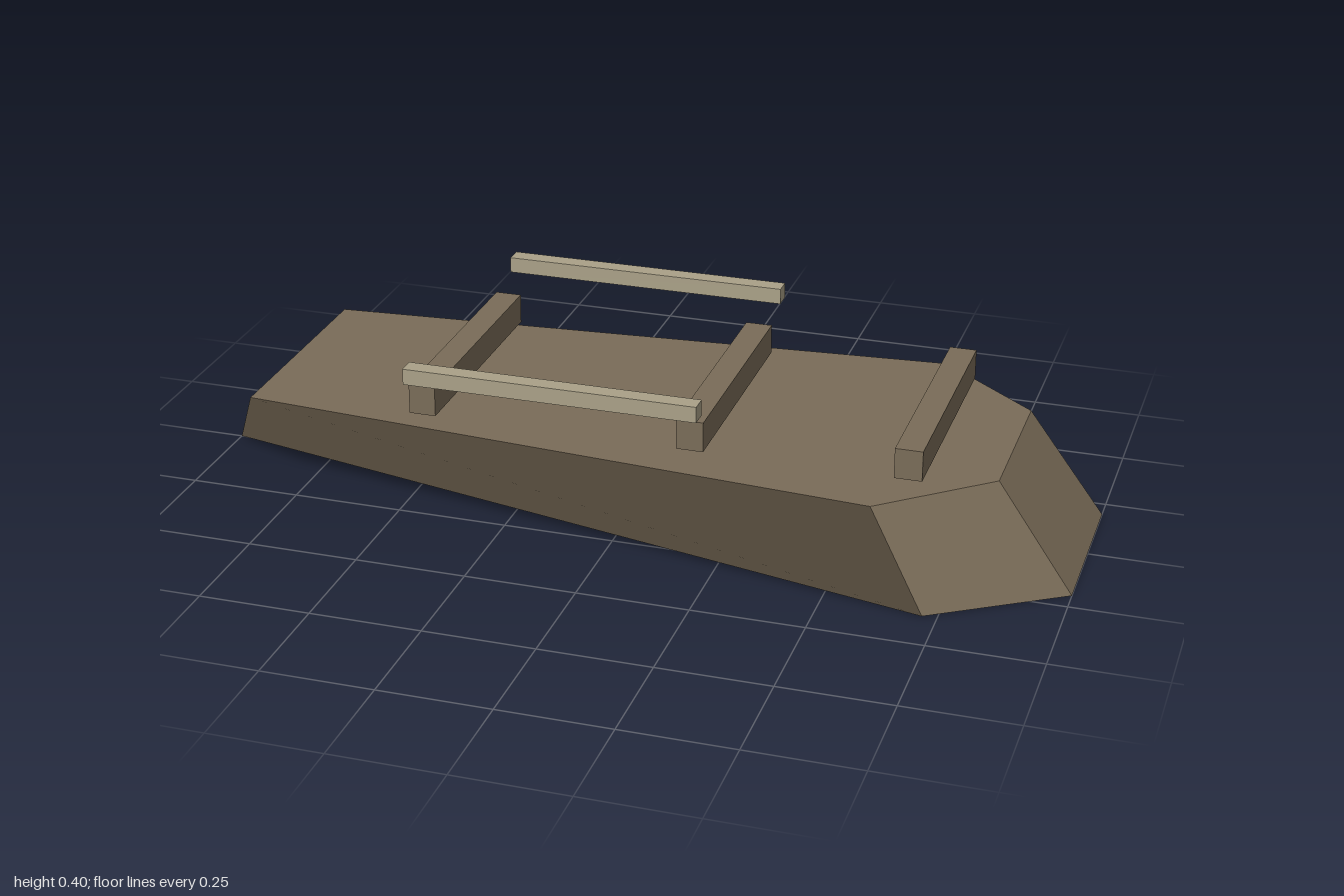
import * as THREE from 'three';

// Builds a solid from planar-shaded polygons; each polygon keeps one shared normal.
function polygonSolid(faces) {
  const pos = [], nor = [];
  for (const f of faces) {
    const n = new THREE.Vector3();
    const p = f.map((c) => new THREE.Vector3(...c));
    for (let i = 1; i < p.length - 1; i++) {
      const a = p[i].clone().sub(p[0]), b = p[i + 1].clone().sub(p[0]);
      n.add(a.cross(b));
    }
    n.normalize();
    for (let i = 1; i < p.length - 1; i++) {
      for (const v of [p[0], p[i], p[i + 1]]) {
        pos.push(v.x, v.y, v.z);
        nor.push(n.x, n.y, n.z);
      }
    }
  }
  const g = new THREE.BufferGeometry();
  g.setAttribute('position', new THREE.Float32BufferAttribute(pos, 3));
  g.setAttribute('normal', new THREE.Float32BufferAttribute(nor, 3));
  return g;
}

export function createModel() {
  const model = new THREE.Group();
  model.name = 'boat';
  const wood = new THREE.MeshStandardMaterial({ name: 'brown wood', color: 0x7a6c58 });
  const pale = new THREE.MeshStandardMaterial({ name: 'pale wood', color: 0xaaa188 });

  const add = (name, geometry, material, x = 0, y = 0, z = 0) => {
    const mesh = new THREE.Mesh(geometry, material);
    mesh.name = name;
    mesh.position.set(x, y, z);
    model.add(mesh);
  };

  // Hull: pointed keel end at -x, blunt chamfered end at +x
  const top = 0.237;
  const tip = [-1, 0, 0];
  const stern = (s) => [-0.84, top, 0.267 * s];
  const shoulder = (s) => [0.6, top, 0.381 * s];
  const noseTop = (s) => [0.83, top, 0.184 * s];
  const chine = (s) => [0.718, 0, 0.381 * s];
  const noseBase = (s) => [1, 0, 0.199 * s];
  const faces = [
    [stern(1), shoulder(1), noseTop(1), noseTop(-1), shoulder(-1), stern(-1)], // deck
    [tip, chine(-1), noseBase(-1), noseBase(1), chine(1)], // bottom
    [noseBase(1), noseBase(-1), noseTop(-1), noseTop(1)], // blunt end
    [tip, stern(1), stern(-1)], // pointed end
  ];
  for (const s of [1, -1]) {
    const side = [stern(s), tip, chine(s), shoulder(s)];
    const chamfer = [shoulder(s), chine(s), noseBase(s), noseTop(s)];
    for (const f of [side, chamfer]) {
      // reverse the far end of the loop when mirrored, keeping the same diagonal
      faces.push(s > 0 ? f : [f[0], f[3], f[2], f[1]]);
    }
  }
  add('hull', polygonSolid(faces), wood);

  // Cross benches
  const bench = new THREE.BoxGeometry(0.06, 0.068, 0.553);
  for (const x of [-0.425, 0.182, 0.655]) add('bench', bench, wood, x, 0.291, 0);

  // Side rails
  const rail = new THREE.BoxGeometry(0.654, 0.036, 0.04);
  for (const s of [1, -1]) add('rail', rail, pale, -0.107, 0.38, 0.338 * s);

  return model;
}
